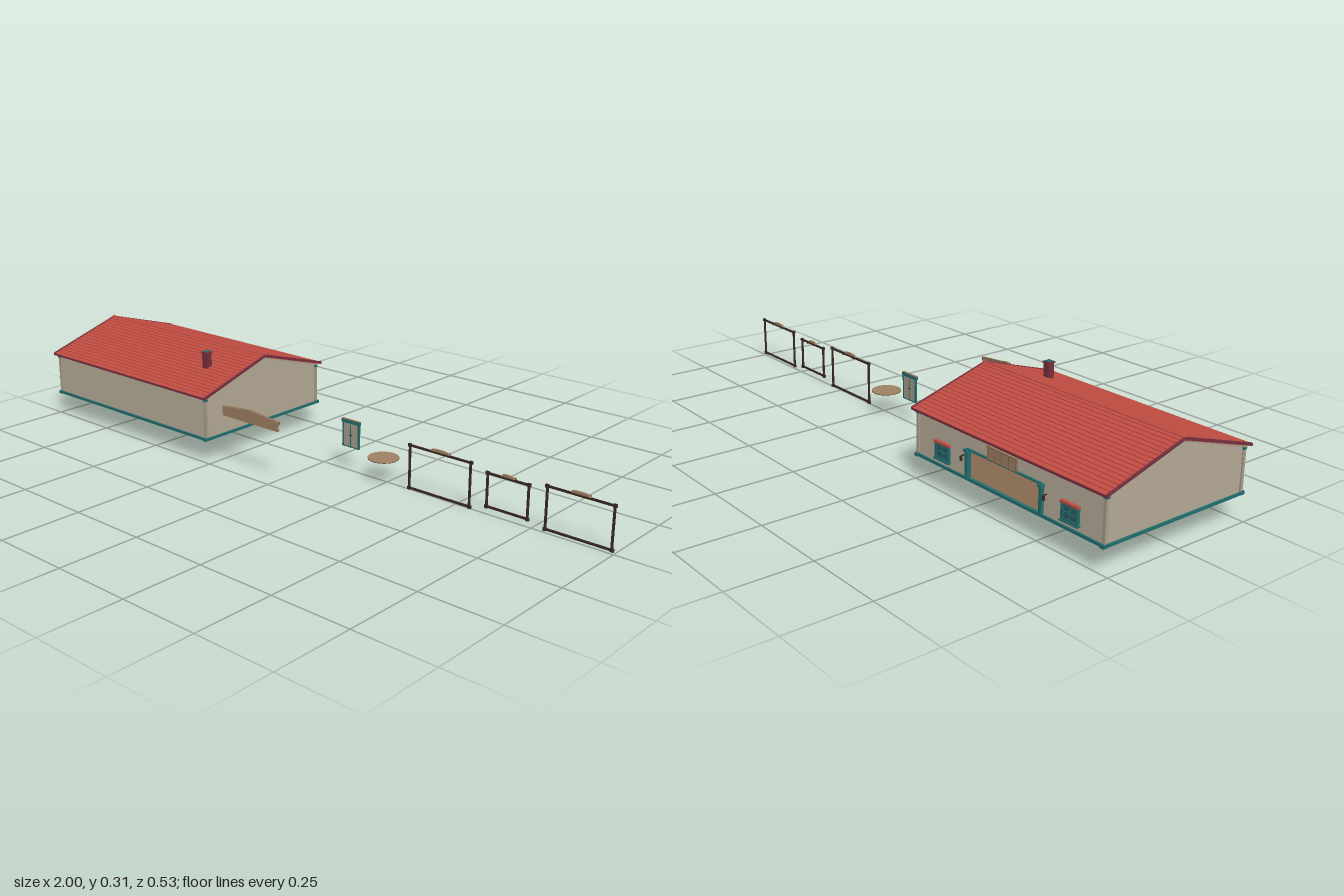
import * as THREE from 'three';

const mat = (name, color) => Object.assign(new THREE.MeshStandardMaterial({ color }), { name });

export function createModel() {
  const siding = mat('siding', 0xaaa08d);
  const roofRed = mat('roof tile', 0xc34d43);
  const maroon = mat('maroon trim', 0x7a3040);
  const teal = mat('teal trim', 0x226f70);
  const wood = mat('tan wood', 0xa08264);
  const brown = mat('brown wood', 0x876b52);
  const dark = mat('dark wood', 0x3a2a25);
  const glass = mat('window glass', 0x2f5c60);

  const model = new THREE.Group();
  const group = (name, parent = model) => {
    const g = new THREE.Group();
    g.name = name;
    parent.add(g);
    return g;
  };
  const add = (parent, name, geo, m, x = 0, y = 0, z = 0) => {
    const mesh = new THREE.Mesh(geo, m);
    mesh.name = name;
    mesh.position.set(x, y, z);
    parent.add(mesh);
    return mesh;
  };
  // box from centre x/z and a bottom height
  const box = (parent, name, m, w, h, d, x, y, z) =>
    add(parent, name, new THREE.BoxGeometry(w, h, d), m, x, y + h / 2, z);
  const plate = (pts, depth) => new THREE.ExtrudeGeometry(
    new THREE.Shape(pts.map(p => new THREE.Vector2(p[0], p[1]))), { depth, bevelEnabled: false });

  // ---------- House ----------
  const house = group('house');
  house.position.x = -0.6225;
  const HX = 0.36, HZ = 0.247, BASE = 0.08, EAVE = 0.208, SLOPE = 0.313;
  const gableTop = EAVE + HZ * SLOPE;

  // plank floor
  const PLANKS = 24, plankW = 0.722 / PLANKS;
  for (let i = 0; i < PLANKS; i++)
    box(house, 'floorPlank', brown, plankW, 0.005, 0.5, (i + 0.5) * plankW - 0.361, 0.073, 0);
  for (const s of [-1, 1]) {
    box(house, 'baseboard', teal, 0.732, 0.008, 0.01, 0, 0.073, s * 0.249);
    box(house, 'baseboard', teal, 0.01, 0.008, 0.5, s * 0.3615, 0.073, 0);
  }

  // lapped boards on a wall; spans(y) lists the [left, right] stretches at a height
  const wall = (name, angle, dist, top, spans) => {
    const w = group(name, house);
    w.rotation.y = angle;
    const step = 0.014;
    for (let y = BASE - 0.001; y < top - 0.001; y += step) {
      const h = Math.min(step, top - y);
      const low = spans(y + 0.001), high = spans(y + h - 0.0001);
      low.forEach(([a, b], i) => {
        const [c, d] = high[i] ?? [a, b];
        const board = add(w, 'sidingBoard', plate([[a, 0], [b, 0], [d, h], [c, h]], 0.004), siding, 0, y, dist - 0.002);
        board.rotation.x = -0.2;
      });
    }
  };
  const gable = y => {
    const half = Math.min(HZ, Math.max(0.001, (gableTop - y) / SLOPE));
    return [[-half, half]];
  };
  const OPEN = 0.14, OPEN_TOP = 0.164;
  wall('frontWall', 0, HZ, EAVE, () => [[-HX, HX]]);
  wall('backWall', Math.PI, HZ, EAVE, y => y < OPEN_TOP - 0.001 ? [[-HX, -OPEN], [OPEN, HX]] : [[-HX, HX]]);
  wall('leftGable', Math.PI / 2, HX, gableTop, gable);
  wall('rightGable', -Math.PI / 2, HX, gableTop, gable);

  // corner posts with teal feet and caps
  for (const sx of [-1, 1]) for (const sz of [-1, 1]) {
    box(house, 'cornerPost', siding, 0.009, 0.125, 0.009, sx * 0.3605, 0.08, sz * 0.248);
    box(house, 'postFoot', teal, 0.014, 0.01, 0.016, sx * 0.3605, 0.073, sz * 0.25);
    box(house, 'postCap', teal, 0.012, 0.006, 0.011, sx * 0.3605, 0.2, sz * 0.248);
  }

  // roof: stepped tile rows on both slopes, extruded along the ridge
  const ROWS = 18, RZ = 0.262, RY = 0.212, RTOP = 0.293;
  const slope = [];
  for (let i = 0; i < ROWS; i++) {
    const at = t => [RZ * (1 - t), RY + (RTOP - RY) * t];
    const [z0, y0] = at(i / ROWS), [z1, y1] = at((i + 1) / ROWS);
    slope.push([z0, y0 + 0.004], [z1, y1 + 0.002]);
  }
  const under = [[-RZ, RY - 0.004], [0, RTOP - 0.006], [RZ, RY - 0.004]];
  const mirrored = slope.map(([z, y]) => [-z, y]).reverse();
  const roof = add(house, 'roof', plate([...under, ...slope, ...mirrored.slice(1)], 0.744), roofRed, 0.372, 0, 0);
  roof.rotation.y = -Math.PI / 2;

  // lining inside, barge boards, gable trim and eave strips
  const chevron = (z, low, high, t) => [[-z, low], [0, high], [z, low], [z, low + t], [0, high + t], [-z, low + t]];
  const ceiling = add(house, 'ceilingLining', plate(chevron(0.245, 0.2095, 0.285, 0.002), 0.71), siding, 0.355, 0, 0);
  ceiling.rotation.y = -Math.PI / 2;
  for (const s of [-1, 1]) {
    const barge = add(house, 'bargeBoard', plate(chevron(0.264, 0.209, 0.289, 0.008), 0.005), maroon, s * 0.3725 + 0.0025, 0, 0);
    barge.rotation.y = -Math.PI / 2;
    const trim = add(house, 'gableTrim', plate(chevron(0.254, 0.204, 0.2815, 0.006), 0.006), siding, s * 0.363 + 0.003, 0, 0);
    trim.rotation.y = -Math.PI / 2;
    box(house, 'eaveStrip', maroon, 0.75, 0.006, 0.003, 0, 0.209, s * 0.2625);
  }
  add(house, 'ridgeRoll', new THREE.CylinderGeometry(0.004, 0.004, 0.75, 8).rotateZ(Math.PI / 2), roofRed, 0, 0.295, 0);

  // chimney
  box(house, 'chimney', maroon, 0.021, 0.052, 0.021, 0.2375, 0.252, 0.123);
  box(house, 'chimneyCap', maroon, 0.026, 0.004, 0.026, 0.2375, 0.303, 0.123);
  box(house, 'chimneyTop', teal, 0.018, 0.002, 0.018, 0.2375, 0.307, 0.123);

  // wide entrance on the back wall
  const entrance = group('entrance', house);
  for (const s of [-1, 1]) {
    box(entrance, 'doorPost', teal, 0.01, 0.084, 0.014, s * 0.144, 0.077, -0.25);
    box(entrance, 'postBlock', teal, 0.015, 0.007, 0.018, s * 0.144, 0.155, -0.251);
    box(entrance, 'lampArm', dark, 0.003, 0.003, 0.012, s * 0.16, 0.138, -0.255);
    box(entrance, 'lamp', dark, 0.006, 0.012, 0.005, s * 0.16, 0.126, -0.26);
  }
  box(entrance, 'lintel', teal, 0.29, 0.005, 0.01, 0, 0.16, -0.25);

  // board above the entrance
  box(entrance, 'signBoard', wood, 0.11, 0.034, 0.004, 0, 0.167, -0.254);
  for (const y of [0.165, 0.198]) box(entrance, 'signRail', brown, 0.114, 0.003, 0.006, 0, y, -0.257);
  for (let i = -2; i <= 2; i++) box(entrance, 'signSlat', brown, 0.003, 0.033, 0.005, i * 0.0275, 0.167, -0.2565);

  // back windows
  for (const s of [-1, 1]) {
    const win = group('window', house);
    win.position.set(s * 0.2475, 0.097, -0.252);
    box(win, 'glass', glass, 0.05, 0.04, 0.004, 0, 0.003, 0);
    for (const x of [-0.026, 0, 0.026]) box(win, 'windowStile', teal, x ? 0.008 : 0.004, 0.044, 0.008, x, 0, -0.001);
    for (const y of [0, 0.021, 0.04]) box(win, 'windowRail', teal, 0.056, y === 0.021 ? 0.004 : 0.006, 0.008, 0, y, -0.001);
    box(win, 'windowSill', teal, 0.064, 0.004, 0.012, 0, -0.003, -0.002);
    box(win, 'windowHood', roofRed, 0.062, 0.006, 0.011, 0, 0.046, -0.002);
  }

  // ---------- Loose pediment board ----------
  const pediment = group('pediment');
  pediment.position.set(-0.0885, 0, 0.228);
  add(pediment, 'pedimentBoard', plate([[-0.115, 0.165], [0.115, 0.165], [0.115, 0.195], [0.035, 0.202], [0, 0.207], [-0.035, 0.202], [-0.115, 0.195]], 0.004), wood);
  box(pediment, 'backRail', brown, 0.228, 0.004, 0.004, 0, 0.166, -0.002);
  for (const s of [-1, 1]) {
    const rail = box(pediment, 'slopedRail', brown, 0.115, 0.004, 0.004, s * 0.057, 0.196, -0.002);
    rail.rotation.z = -s * 0.09;
  }
  for (let i = -4; i <= 4; i++) {
    const rib = box(pediment, 'backRib', brown, 0.004, 0.029, 0.003, i * 0.0275, 0.167, -0.002);
    rib.rotation.z = i % 2 ? 0.5 : -0.5;
  }

  // ---------- Loose double door ----------
  const door = group('doubleDoor');
  door.position.set(0.109, 0.075, 0);
  for (const s of [-1, 1]) {
    box(door, 'doorLeaf', siding, 0.027, 0.074, 0.004, s * 0.0145, 0.002, 0);
    box(door, 'doorJamb', teal, 0.005, 0.078, 0.007, s * 0.03, 0, 0);
    box(door, 'doorHandle', dark, 0.002, 0.004, 0.007, s * 0.004, 0.037, 0);
  }
  box(door, 'meetingStile', teal, 0.003, 0.076, 0.006, 0, 0, 0);
  box(door, 'threshold', teal, 0.064, 0.003, 0.007, 0, 0, 0);
  box(door, 'doorLintel', teal, 0.07, 0.01, 0.009, 0, 0.076, 0);
  box(door, 'lintelCap', brown, 0.07, 0.001, 0.009, 0, 0.086, 0);

  // ---------- Round floor disc ----------
  add(model, 'disc', new THREE.CylinderGeometry(0.047, 0.047, 0.002, 32), wood, 0.235, 0.074, 0);
  add(model, 'discBase', new THREE.CylinderGeometry(0.047, 0.047, 0.001, 32), dark, 0.235, 0.0725, 0);

  // ---------- Three open frames: x0, x1, y0, y1 ----------
  for (const [x0, x1, y0, y1] of [[0.327, 0.552, 0, 0.142], [0.598, 0.743, 0.018, 0.127], [0.788, 1, 0.006, 0.14]]) {
    const f = group('openFrame');
    const w = x1 - x0;
    f.position.x = (x0 + x1) / 2;
    for (const s of [-1, 1]) {
      box(f, 'frameStile', dark, 0.006, y1 - y0 - 0.006, 0.005, s * (w / 2 - 0.006), y0 + 0.003, 0);
      for (const y of [y0, y1 - 0.009])
        box(f, 'cornerBlock', dark, 0.01, 0.009, 0.007, s * (w / 2 - 0.005), y, 0);
    }
    for (const y of [y0 + 0.002, y1 - 0.008]) box(f, 'frameRail', dark, w - 0.01, 0.006, 0.005, 0, y, 0);
    const o = w * 0.15;
    add(f, 'crest', plate([[-o, 0], [o, 0], [o * 0.8, 0.006], [o * 0.3, 0.008], [-o * 0.3, 0.008], [-o * 0.8, 0.006]], 0.006), wood, 0, y1 - 0.002, -0.003);
    for (const s of [-1, 1]) box(f, 'crestHook', dark, 0.004, 0.006, 0.01, s * o * 0.8, y1 - 0.006, -0.005);
  }
  return model;
}
